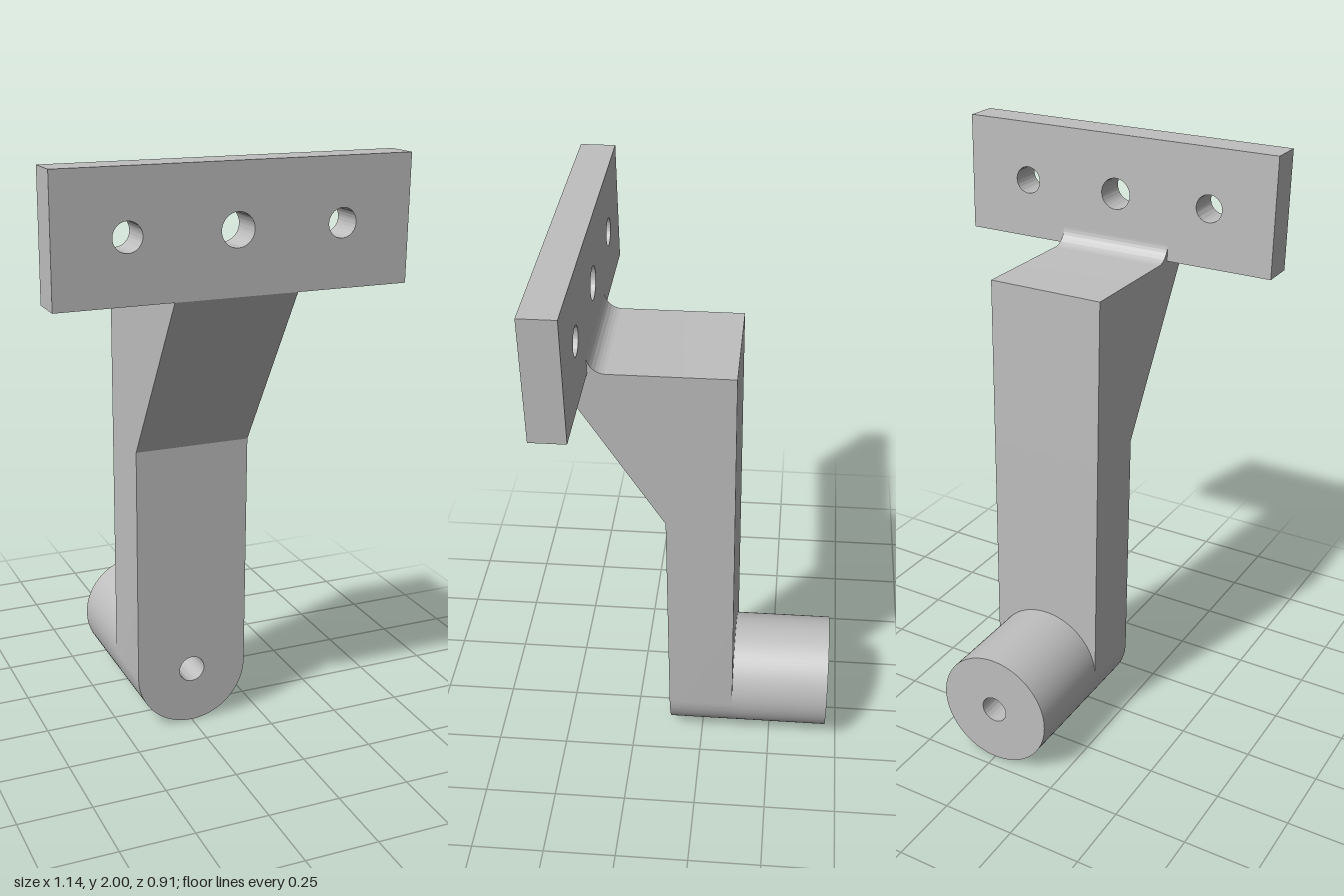
import * as THREE from 'three';
import { toCreasedNormals } from 'three/addons/utils/BufferGeometryUtils.js';

const HALF = 0.2;      // half width of the arm, radius of its round end and boss
const ARM_Z = 0.114;   // half thickness of the arm
const PLATE_X = 0.571; // half width of the mounting plate
const BACK = 0.343;    // rear face of the mounting plate
const END = 0.457;     // furthest reach forward and back
const KNEE = 1.03;     // height where the gusset starts
const SHELF = 1.6;     // top of the arm, bottom of the plate
const FILLET = 0.057;

const metal = new THREE.MeshStandardMaterial({ color: 0xbfbfbf });
metal.name = 'grey metal';

function addHole(shape, x, y, r) {
  shape.holes.push(new THREE.Path().absarc(x, y, r, 0, Math.PI * 2, true));
}

function extrude(shape, depth) {
  const geometry = new THREE.ExtrudeGeometry(shape, { depth, bevelEnabled: false, curveSegments: 40 });
  return toCreasedNormals(geometry, 0.5);
}

function part(name, geometry) {
  const mesh = new THREE.Mesh(geometry, metal);
  mesh.name = name;
  return mesh;
}

export function createModel() {
  const bracket = new THREE.Group();
  bracket.name = 'bracket';

  // Mounting plate with three screw holes
  const plate = new THREE.Shape();
  plate.moveTo(-PLATE_X, SHELF).lineTo(PLATE_X, SHELF).lineTo(PLATE_X, 2).lineTo(-PLATE_X, 2).closePath();
  for (const [x, r] of [[-0.343, 0.046], [0, 0.053], [0.343, 0.046]]) addHole(plate, x, 1.8, r);
  bracket.add(part('mountingPlate', extrude(plate, END - BACK).translate(0, 0, BACK)));

  // Upper arm: side profile with sloping gusset and a fillet behind the plate
  const side = new THREE.Shape();
  side.moveTo(-ARM_Z, KNEE).lineTo(ARM_Z, KNEE).lineTo(END, SHELF).lineTo(BACK, SHELF);
  side.lineTo(BACK, SHELF + FILLET);
  side.absarc(BACK - FILLET, SHELF + FILLET, FILLET, 0, -Math.PI / 2, true);
  side.lineTo(-ARM_Z, SHELF).closePath();
  bracket.add(part('upperArm', extrude(side, HALF * 2).rotateY(-Math.PI / 2).translate(HALF, 0, 0)));

  // Lower arm with a rounded, drilled end
  const arm = new THREE.Shape();
  arm.moveTo(HALF, KNEE).lineTo(-HALF, KNEE).lineTo(-HALF, HALF);
  arm.absarc(0, HALF, HALF, Math.PI, Math.PI * 2, false);
  arm.closePath();
  addHole(arm, 0, HALF, 0.046);
  bracket.add(part('lowerArm', extrude(arm, ARM_Z * 2).translate(0, 0, -ARM_Z)));

  // Round boss behind the arm, drilled through
  const boss = new THREE.Shape().absarc(0, HALF, HALF, 0, Math.PI * 2, false);
  addHole(boss, 0, HALF, 0.046);
  bracket.add(part('boss', extrude(boss, END - ARM_Z).translate(0, 0, -END)));

  return bracket;
}
